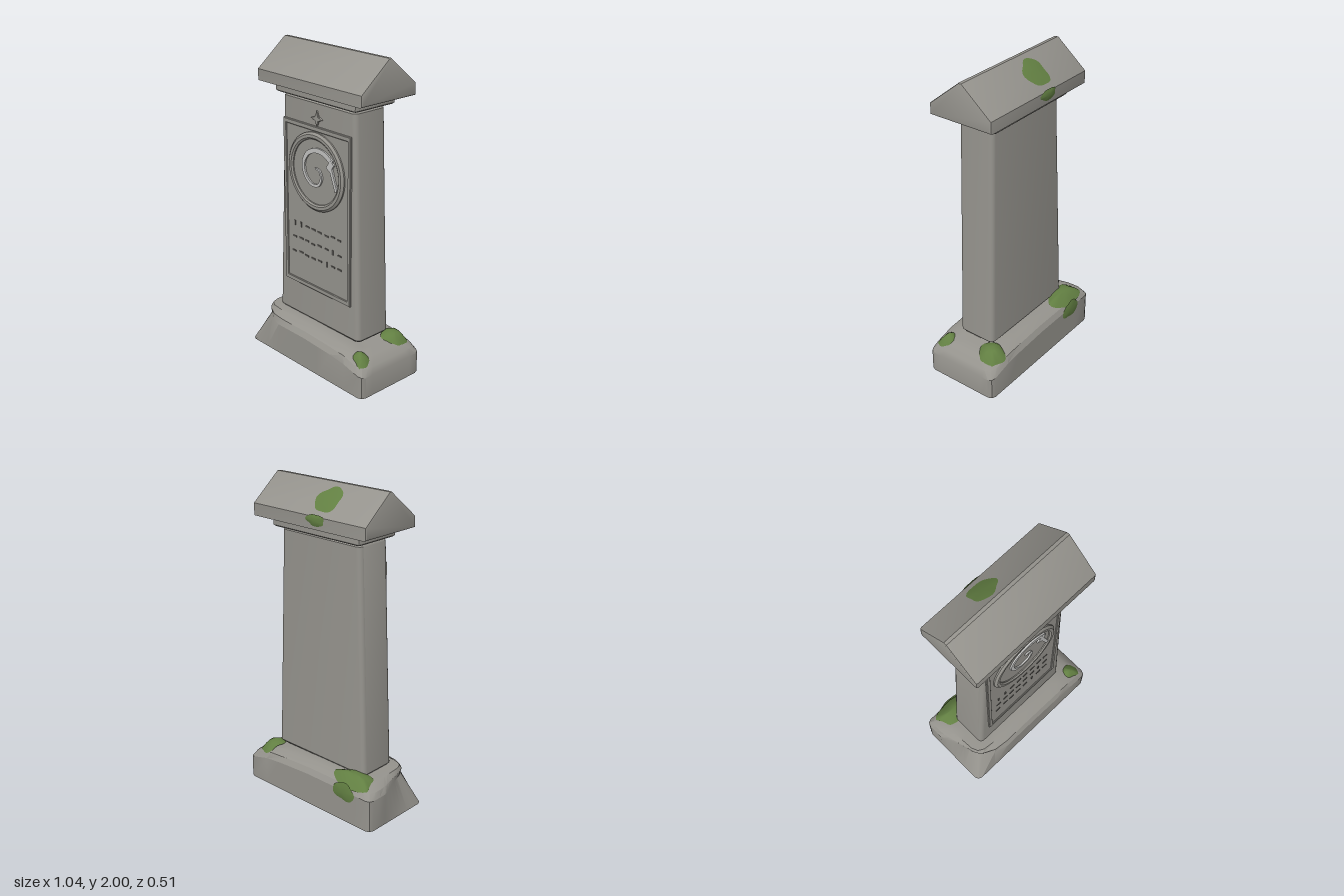
import * as THREE from 'three';
import { toCreasedNormals } from 'three/addons/utils/BufferGeometryUtils.js';

const mat = (name, color) => {
  const m = new THREE.MeshStandardMaterial({ color, side: THREE.DoubleSide });
  m.name = name;
  return m;
};

// Rounded rectangle ring with evenly subdivided sides, counter-clockwise from above
function ring(x0, x1, z0, z1, r, arc, sub, y) {
  const corners = [[x1 - r, z0 + r], [x0 + r, z0 + r], [x0 + r, z1 - r], [x1 - r, z1 - r]];
  const pts = [];
  corners.forEach(([cx, cz], k) => {
    for (let i = 0; i <= arc; i++) {
      const a = (k + i / arc) * Math.PI / 2;
      pts.push(new THREE.Vector3(cx + r * Math.cos(a), 0, cz - r * Math.sin(a)));
    }
    const a = ((k + 1) % 4) * Math.PI / 2, [nx, nz] = corners[(k + 1) % 4];
    const next = new THREE.Vector3(nx + r * Math.cos(a), 0, nz - r * Math.sin(a));
    const last = pts[pts.length - 1];
    for (let i = 1; i < sub; i++) pts.push(last.clone().lerp(next, i / sub));
  });
  pts.forEach(p => { p.y = typeof y === 'function' ? y(p) : y; });
  return pts;
}

// Skin over a stack of rings
function loft(rings, capTop, capBottom, crease) {
  const n = rings[0].length, pos = [], idx = [];
  rings.forEach(r => r.forEach(p => pos.push(p.x, p.y, p.z)));
  for (let k = 0; k < rings.length - 1; k++)
    for (let i = 0; i < n; i++) {
      const j = (i + 1) % n, a = k * n + i, b = k * n + j;
      idx.push(a, b, b + n, a, b + n, a + n);
    }
  const cap = (k, up) => {
    const c = rings[k].reduce((s, p) => s.add(p), new THREE.Vector3()).divideScalar(n);
    const ci = pos.length / 3;
    pos.push(c.x, c.y, c.z);
    for (let i = 0; i < n; i++) {
      const a = k * n + i, b = k * n + (i + 1) % n;
      if (up) idx.push(ci, a, b); else idx.push(ci, b, a);
    }
  };
  if (capTop) cap(rings.length - 1, true);
  if (capBottom) cap(0, false);
  const g = new THREE.BufferGeometry();
  g.setAttribute('position', new THREE.Float32BufferAttribute(pos, 3));
  g.setIndex(idx);
  return toCreasedNormals(g, crease);
}

const shapeOf = pts => new THREE.Shape(pts.map(([x, y]) => new THREE.Vector2(x, y)));
const rectPts = (x0, x1, y0, y1) => [[x0, y0], [x1, y0], [x1, y1], [x0, y1]];

// Raised plate on the front, from z to z + depth
function plate(shape, z, depth, bevel = 0) {
  const g = new THREE.ExtrudeGeometry(shape, {
    depth: depth - bevel, bevelEnabled: bevel > 0, bevelSize: bevel, bevelOffset: -bevel,
    bevelThickness: bevel, bevelSegments: 1, curveSegments: 40,
  });
  return g.translate(0, 0, z);
}

// Worn top of the plinth: level on one side, sinking towards +x
const plinthTop = x => 0.27 - 0.055 * Math.max(0, x) - 0.2 * Math.max(0, x - 0.33);
const plinthSurface = (x, z) => {
  const edge = Math.max(Math.abs(x) - 0.42, Math.abs(z) - 0.17, 0);
  return plinthTop(x) - 0.6 * edge;
};

export function createModel() {
  const root = new THREE.Group();
  const stone = mat('stone', 0x95938d), pale = mat('pale stone', 0xc2c2c0);
  const dark = mat('carved shadow', 0x62605c), moss = mat('moss', 0x627f42);
  const add = (name, geo, m) => {
    const mesh = new THREE.Mesh(geo, m);
    mesh.name = name;
    root.add(mesh);
    return mesh;
  };

  // Plinth: hollow below, its front corner at -x broken away at a slant
  const spec = [[0, null, 0.035], [0, 0.065, 0.035], [0.02, 0.03, 0.05], [0.07, 0.005, 0.06], [0.13, 0, 0.06]];
  const plinth = spec.map(([d, drop, r]) =>
    ring(-0.52 + d, 0.52 - d, -0.242 + d, 0.255 - d, r, 2, 8, p => drop === null ? 0 : plinthTop(p.x) - drop));
  plinth.slice(1, 4).forEach((r, k) => r.forEach(p => {
    const cut = Math.max(0, (-p.x - 0.3) / 0.22) * Math.max(0, (p.z + 0.1) / 0.35);
    const w = [1, 0.8, 0.35][k] * cut;
    p.x += 0.1 * w;
    p.z -= 0.09 * w;
  }));
  add('plinth', loft(plinth, true, false, 0.5), stone);

  // Tapered shaft with softened edges
  const shaft = [[0.265, 0.012], [0.28, 0], [1.68, 0], [1.70, 0.014]].map(([y, d]) => {
    const t = (y - 0.265) / 1.435;
    return ring(-0.368 + 0.068 * t + d, 0.362 - 0.044 * t - d, -0.122 + 0.016 * t + d, 0.132 - d, 0.03, 4, 1, y);
  });
  add('shaft', loft(shaft, true, true, 0.6), stone);

  // Neck slab under the cap
  const neck = [[1.70, 0.008], [1.708, 0], [1.748, 0], [1.756, 0.008]].map(([y, d]) =>
    ring(-0.332 + d, 0.352 - d, -0.15 + d, 0.165 - d, 0.012, 2, 1, y));
  add('neckSlab', loft(neck, true, true, 0.5), stone);

  // Gabled cap, extruded along x
  const gable = shapeOf([[-0.22, 1.757], [0.207, 1.757], [0.207, 1.832], [0.01, 1.996], [-0.01, 1.996], [-0.22, 1.826]]);
  const cap = new THREE.ExtrudeGeometry(gable, {
    depth: 0.861, bevelEnabled: true, bevelSize: 0.012, bevelOffset: -0.012, bevelThickness: 0.012, bevelSegments: 2,
  });
  cap.rotateY(Math.PI / 2).translate(-0.418, 0, 0);
  add('gabledCap', toCreasedNormals(cap, 0.5), stone);

  // Front panel with raised border
  add('panel', plate(shapeOf(rectPts(-0.292, 0.295, 0.49, 1.545)), 0.125, 0.012), stone);
  const border = shapeOf(rectPts(-0.292, 0.295, 0.49, 1.545));
  border.holes.push(shapeOf(rectPts(-0.264, 0.27, 0.522, 1.515)));
  add('panelBorder', plate(border, 0.13, 0.014, 0.004), stone);

  // Round medallion
  const mid = [0.003, 1.268];
  const disc = new THREE.CylinderGeometry(0.215, 0.215, 0.016, 56).rotateX(Math.PI / 2);
  add('medallionDisc', disc, stone).position.set(mid[0], mid[1], 0.136);
  const rim = new THREE.LatheGeometry([[0.196, 0], [0.2, 0.018], [0.21, 0.026], [0.228, 0.026], [0.242, 0.014], [0.242, 0]]
    .reverse().map(([x, y]) => new THREE.Vector2(x, y)), 56).rotateX(Math.PI / 2);
  add('medallionRim', toCreasedNormals(rim, 0.6), stone).position.set(mid[0], mid[1], 0.132);

  // Tapering spiral relief with a pointed end
  const path = new THREE.CatmullRomCurve3([[0.15, 1.36], [0.085, 1.398], [0.01, 1.405], [-0.063, 1.372], [-0.1, 1.305],
    [-0.085, 1.235], [-0.03, 1.188], [0.03, 1.195], [0.056, 1.245], [0.04, 1.285], [0.005, 1.295]]
    .map(([x, y]) => new THREE.Vector3(x, y, 0)));
  const left = [], right = [];
  for (let i = 0; i <= 60; i++) {
    const t = i / 60, p = path.getPoint(t), v = path.getTangent(t), w = 0.017 - 0.012 * t;
    left.push([p.x - v.y * w, p.y + v.x * w]);
    right.unshift([p.x + v.y * w, p.y - v.x * w]);
  }
  add('spiral', plate(shapeOf([...left, ...right]), 0.14, 0.014), pale);
  add('spiralPoint', plate(shapeOf([[0.135, 1.375], [0.168, 1.35], [0.15, 1.325], [0.194, 1.2], [0.176, 1.19],
    [0.135, 1.3], [0.1, 1.322]]), 0.14, 0.0145), pale);

  // Four-pointed star above the panel
  const star = [];
  for (let i = 0; i < 8; i++) {
    const a = i * Math.PI / 4, r = i % 2 ? 0.02 : 0.05;
    star.push([0.007 + r * Math.cos(a), 1.592 + r * Math.sin(a)]);
  }
  add('star', plate(shapeOf(star), 0.13, 0.012, 0.003), stone);

  // Three rows of worn carved dashes
  let seed = 7;
  const rnd = () => (seed = (seed * 16807) % 2147483647) / 2147483647;
  const dashes = new THREE.Group();
  dashes.name = 'carvedDashes';
  [0.89, 0.795, 0.7].forEach(y => {
    for (let x = -0.21; x < 0.2; x += 0.058) {
      const upright = rnd() < 0.25;
      const dash = new THREE.Mesh(new THREE.BoxGeometry(upright ? 0.01 : 0.034, upright ? 0.034 : 0.01, 0.006), dark);
      dash.position.set(x + 0.01 * rnd(), y + 0.012 * (rnd() - 0.5), 0.138);
      dashes.add(dash);
    }
  });
  root.add(dashes);

  // Moss: irregular domed patches draped over a surface
  function mossPatch(name, cx, cz, rx, rz, phase, place) {
    const rings = [1, 0.85, 0.6, 0.3].map(f => {
      const pts = [];
      for (let i = 0; i < 28; i++) {
        const a = i / 28 * Math.PI * 2;
        const k = f * (1 + 0.07 * Math.sin(3 * a + phase) + 0.05 * Math.sin(5 * a + 2 * phase));
        pts.push(place(cx + rx * k * Math.cos(a), cz - rz * k * Math.sin(a), 1 - f * f));
      }
      return pts;
    });
    add(name, loft(rings, true, false, 1), moss);
  }
  const onPlinth = h => (x, z, d) => new THREE.Vector3(x, plinthSurface(x, z) + h * d + 0.002, z);
  const onRoof = (x, z, d) => new THREE.Vector3(x, 1.998 + 0.825 * Math.min(z, 0) + 0.012 * d, z);
  const onBack = z => (x, y, d) => new THREE.Vector3(x, y, z - 0.008 * d);
  mossPatch('mossPlinthBackCorner', -0.33, -0.165, 0.14, 0.082, 0.6, onPlinth(0.03));
  mossPatch('mossPlinthBackEnd', 0.4, -0.14, 0.08, 0.085, 2.1, onPlinth(0.035));
  mossPatch('mossPlinthFrontEnd', 0.445, 0.18, 0.06, 0.052, 4, onPlinth(0.03));
  mossPatch('mossRoof', -0.065, -0.105, 0.12, 0.098, 1.2, onRoof);
  // Hanging moss on the back faces
  mossPatch('mossPlinthDrip', -0.31, 0.2, 0.085, -0.06, 2.5, onBack(-0.243));
  mossPatch('mossRoofDrip', -0.055, 1.812, 0.07, -0.034, 0.9, onBack(-0.208));

  return root;
}
